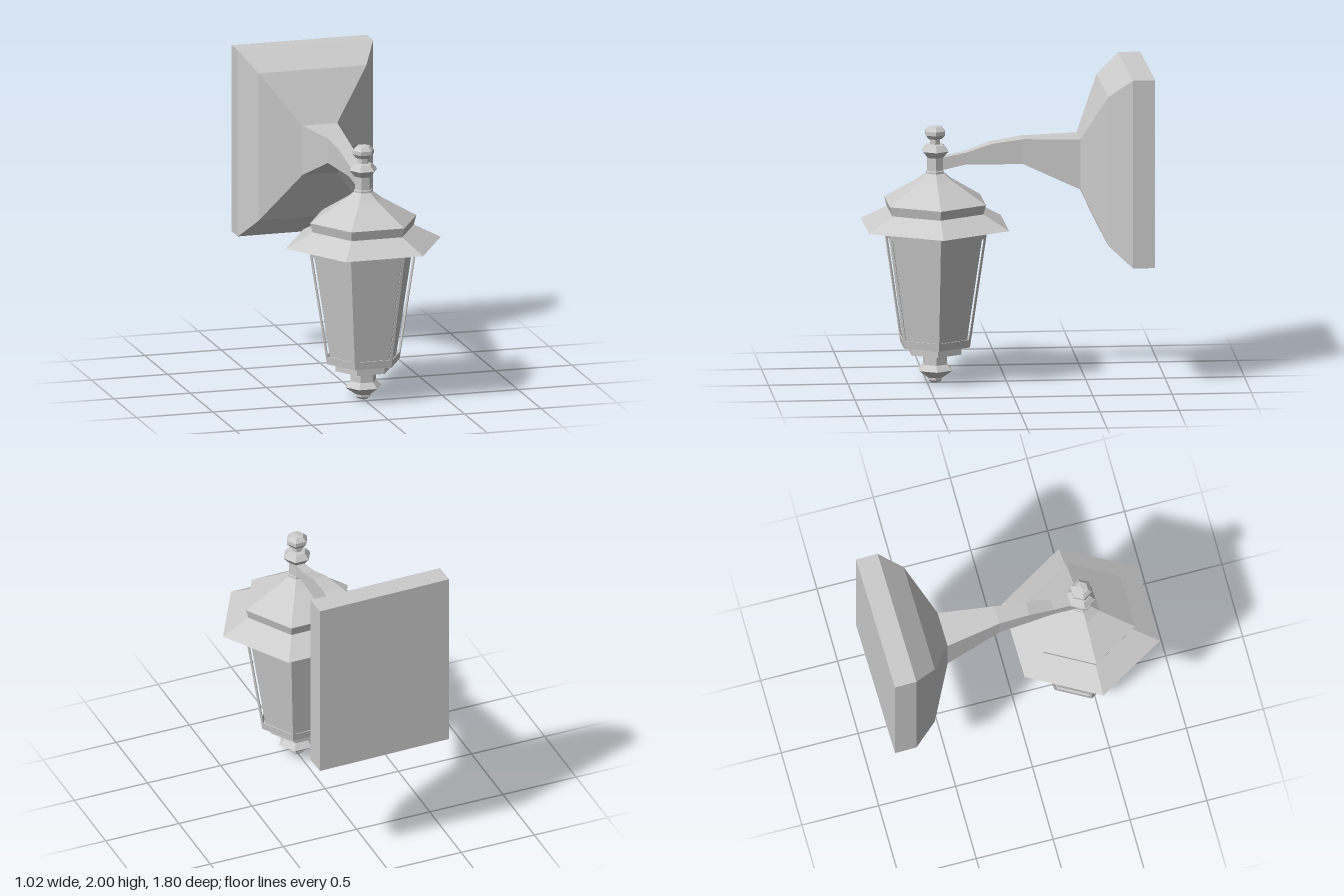
import * as THREE from 'three';

const material = new THREE.MeshStandardMaterial({ color: 0xcccccc, flatShading: true });
const AXIS_Z = 0.45; // lantern axis

function addMesh(parent, name, geometry) {
  const mesh = new THREE.Mesh(geometry, material);
  mesh.name = name;
  parent.add(mesh);
  return mesh;
}

// Six-sided turned solid with corners on the x axis; profile runs bottom to top
function hexTurned(profile) {
  return new THREE.LatheGeometry(profile.map(([r, y]) => new THREE.Vector2(r, y)), 6, Math.PI / 2);
}

// Rectangular cross-sections [z, halfWidth, yBottom, yTop], joined back to front
function rectLoft(sections) {
  const positions = [];
  const index = [];
  sections.forEach(([z, w, y0, y1]) => positions.push(-w, y0, z, w, y0, z, w, y1, z, -w, y1, z));
  for (let s = 0; s < sections.length - 1; s++) {
    for (let i = 0; i < 4; i++) {
      const a = s * 4 + i, b = s * 4 + (i + 1) % 4;
      index.push(a, b, b + 4, a, b + 4, a + 4);
    }
  }
  const e = (sections.length - 1) * 4;
  index.push(0, 2, 1, 0, 3, 2, e, e + 1, e + 2, e, e + 2, e + 3);
  const geometry = new THREE.BufferGeometry();
  geometry.setAttribute('position', new THREE.Float32BufferAttribute(positions, 3));
  geometry.setIndex(index);
  const flat = geometry.toNonIndexed();
  flat.computeVertexNormals();
  return flat;
}

// Thin trapezoid frame with a window opening
function framePanel(bottomHalf, topHalf, height) {
  const half = (y) => bottomHalf + (topHalf - bottomHalf) * y / height;
  const trapezoid = (y0, y1, inset) => [
    [-half(y0) + inset, y0], [half(y0) - inset, y0], [half(y1) - inset, y1], [-half(y1) + inset, y1],
  ].map(([x, y]) => new THREE.Vector2(x, y));
  const shape = new THREE.Shape(trapezoid(0, height, 0));
  shape.holes.push(new THREE.Path(trapezoid(0.05, 0.71, 0.017).reverse()));
  const depth = 0.005;
  return new THREE.ExtrudeGeometry(shape, { depth, bevelEnabled: false }).translate(0, 0, -depth);
}

export function createModel() {
  const model = new THREE.Group();
  model.name = 'wallLantern';

  // Everything turns slightly about the lantern axis
  const fixture = new THREE.Group();
  fixture.name = 'fixture';
  fixture.position.z = AXIS_Z;
  fixture.rotation.y = 0.0165;
  model.add(fixture);

  // Wall plate with stepped chamfers
  addMesh(fixture, 'wallPlate', rectLoft([
    [-0.893, 0.445, 0.795, 2.0],
    [-0.753, 0.445, 0.795, 2.0],
    [-0.607, 0.355, 0.925, 1.88],
    [-0.455, 0.115, 1.24, 1.56],
  ])).position.z = -AXIS_Z;

  // Tapering arm from plate to finial neck
  addMesh(fixture, 'arm', rectLoft([
    [-0.455, 0.115, 1.24, 1.56],
    [-0.1, 0.06, 1.4, 1.56],
    [0.1, 0.047, 1.4, 1.53],
    [0.26, 0.036, 1.4, 1.475],
    [0.43, 0.027, 1.36, 1.44],
  ])).position.z = -AXIS_Z;

  const lantern = new THREE.Group();
  lantern.name = 'lantern';
  fixture.add(lantern);

  // Bottom knob, stem and stepped base
  addMesh(lantern, 'base', hexTurned([
    [0, 0], [0.03, 0.005], [0.048, 0.02], [0.048, 0.035], [0.06, 0.042],
    [0.12, 0.085], [0.083, 0.122], [0.083, 0.18], [0.118, 0.18], [0.118, 0.193],
    [0.182, 0.193], [0.182, 0.243], [0.24, 0.243], [0.24, 0.248], [0, 0.248],
  ]));

  // Recessed glass body
  addMesh(lantern, 'glass', hexTurned([[0.213, 0.246], [0.333, 1.01]]));

  // Six framed sides
  const bottomR = 0.24, topR = 0.36, rise = 0.765;
  const run = (topR - bottomR) * Math.cos(Math.PI / 6);
  const panel = framePanel(bottomR / 2, topR / 2, Math.hypot(rise, run));
  for (let i = 0; i < 6; i++) {
    const side = new THREE.Group();
    side.name = 'frameSide';
    side.rotation.y = i * Math.PI / 3;
    const mesh = addMesh(side, 'windowFrame', panel);
    mesh.position.set(0, 0.245, bottomR * Math.cos(Math.PI / 6));
    mesh.rotation.x = Math.atan2(run, rise);
    lantern.add(side);
  }

  // Wide eave and tiered roof
  addMesh(lantern, 'roof', hexTurned([
    [0, 1.003], [0.37, 1.003], [0.37, 1.01], [0.51, 1.012], [0.333, 1.105],
    [0.35, 1.165], [0.12, 1.3], [0.055, 1.35],
  ]));

  // Neck, collar and ball on top
  addMesh(lantern, 'finial', hexTurned([
    [0.062, 1.345], [0.062, 1.358], [0.055, 1.362], [0.055, 1.445], [0.092, 1.487],
    [0.06, 1.525], [0.035, 1.53], [0.035, 1.562], [0.048, 1.565], [0.07, 1.59],
    [0.07, 1.615], [0.045, 1.64], [0, 1.648],
  ]));

  return model;
}
